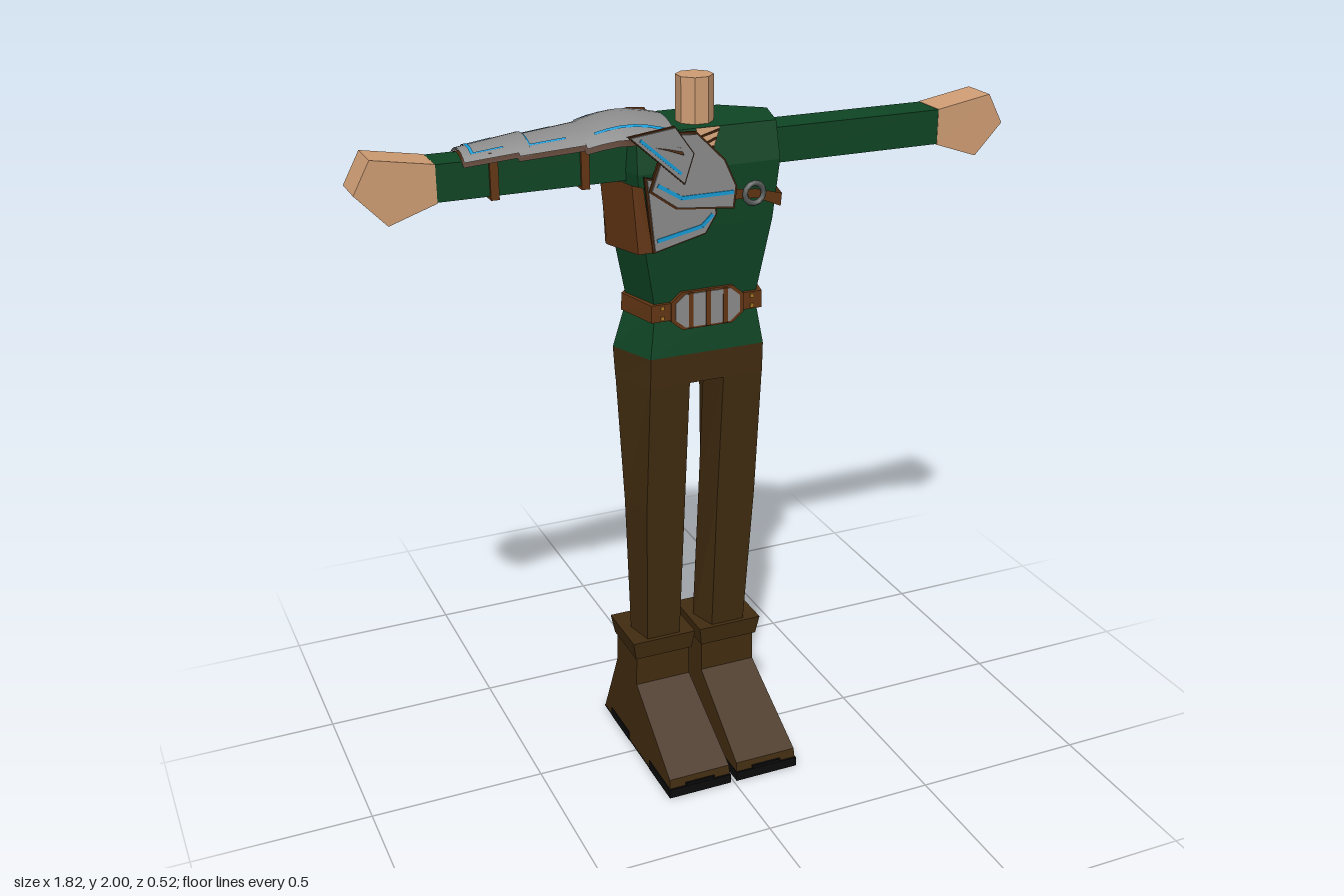
import * as THREE from 'three';

const mat = (name, color) => new THREE.MeshStandardMaterial({ name, color, side: THREE.DoubleSide });
const M = {
  tunic: mat('tunic green', 0x0f4525), trousers: mat('trouser brown', 0x422c10),
  leather: mat('leather', 0x633614), skin: mat('skin', 0xcf9d74),
  steel: mat('steel', 0x8b8b8b), inlay: mat('blue inlay', 0x169bd6),
  sole: mat('sole black', 0x0b0b0b), iron: mat('dark iron', 0x555a58),
  trim: mat('dark trim', 0x47270f), brass: mat('brass', 0xb07a26),
};

export function createModel() {
  const root = new THREE.Group();
  const add = (name, geo, material, parent = root) => {
    const m = new THREE.Mesh(geo, material);
    m.name = name;
    parent.add(m);
    return m;
  };
  const lerp = THREE.MathUtils.lerp;
  const fromTriangles = (p) => {
    const g = new THREE.BufferGeometry();
    g.setAttribute('position', new THREE.Float32BufferAttribute(p.flat(), 3));
    g.computeVertexNormals();
    return g;
  };
  // Flat-faced loft through rings of points, bottom ring first
  const loft = (rings, capped = true) => {
    const t = [], n = rings[0].length;
    for (let k = 0; k + 1 < rings.length; k++)
      for (let i = 0; i < n; i++) {
        const j = (i + 1) % n, a = rings[k], b = rings[k + 1];
        t.push(a[i], a[j], b[j], a[i], b[j], b[i]);
      }
    if (capped) {
      const lo = rings[0], hi = rings[rings.length - 1];
      for (let i = 1; i + 1 < n; i++) t.push(lo[0], lo[i + 1], lo[i], hi[0], hi[i], hi[i + 1]);
    }
    return fromTriangles(t);
  };
  const mirror = (ring) => ring.map(([x, y, z]) => [-x, y, z]).reverse();
  const box = (name, x, y, z, w, h, d, m) =>
    add(name, new THREE.BoxGeometry(w, h, d).translate(x, y, z), m);
  // Flat plate cut from an outline in x and y
  const plate = (name, pts, z, depth, m, grow = 1) => {
    const cx = pts.reduce((s, p) => s + p[0], 0) / pts.length;
    const cy = pts.reduce((s, p) => s + p[1], 0) / pts.length;
    const s = new THREE.Shape(pts.map(([x, y]) =>
      new THREE.Vector2(cx + (x - cx) * grow, cy + (y - cy) * grow)));
    return add(name, new THREE.ExtrudeGeometry(s, { depth, bevelEnabled: false }).translate(0, 0, z), m);
  };
  // Thin line along a path on the chest
  const line = (name, pts, z, w, m) => {
    for (let i = 0; i + 1 < pts.length; i++) {
      const [ax, ay] = pts[i], [bx, by] = pts[i + 1];
      const g = new THREE.BoxGeometry(Math.hypot(bx - ax, by - ay), w, 0.004);
      g.rotateZ(Math.atan2(by - ay, bx - ax)).translate((ax + bx) / 2, (ay + by) / 2, z);
      add(name, g, m);
    }
  };

  // Six-sided body section: front corners, side ridges, back corners
  const section = ([y, xf, zf, xr, xb, zb], o = 0) => [
    [-xf - o, y, zf + o], [xf + o, y, zf + o], [xr + o, y, -0.07],
    [xb + o, y, zb - o], [-xb - o, y, zb - o], [-xr - o, y, -0.07]];
  const waist = [1.27, 0.165, 0.067, 0.22, 0.13, -0.15];
  add('tunic', loft([waist, [1.4, 0.145, 0.052, 0.178, 0.11, -0.13],
    [1.62, 0.185, 0.07, 0.22, 0.12, -0.15], [1.78, 0.2, 0.08, 0.233, 0.125, -0.153],
    [1.88, 0.195, 0.062, 0.232, 0.125, -0.153]].map((r) => section(r))), M.tunic);
  add('hips', loft([[1.185, 0.165, 0.064, 0.215, 0.13, -0.15], waist].map((r) => section(r))), M.trousers);

  // Belt and buckle
  add('belt', loft([[1.372, 0.15, 0.054, 0.184, 0.113, -0.132],
    [1.42, 0.15, 0.054, 0.182, 0.113, -0.132]].map((r) => section(r, 0.01))), M.leather);
  const buckle = [[-0.1, 1.37], [-0.07, 1.345], [0.07, 1.345], [0.1, 1.37],
    [0.1, 1.42], [0.07, 1.445], [-0.07, 1.445], [-0.1, 1.42]];
  plate('buckleRim', buckle, 0.058, 0.01, M.leather, 1.05);
  plate('buckle', buckle, 0.062, 0.009, M.steel, 0.93);
  for (const x of [-0.05, 0, 0.05]) box('buckleBar', x, 1.395, 0.07, 0.013, 0.098, 0.006, M.leather);
  for (const x of [-0.13, 0.13]) for (const y of [1.382, 1.41])
    box('beltStud', x, y, 0.066, 0.01, 0.01, 0.006, M.brass);

  // Neck and laced collar opening
  add('neck', new THREE.CylinderGeometry(0.05, 0.05, 0.15, 8).toNonIndexed()
    .rotateY(Math.PI / 8).translate(0, 1.925, -0.02), M.skin).geometry.computeVertexNormals();
  add('collarOpening', fromTriangles([[-0.035, 1.881, 0.066], [0, 1.8, 0.081], [0.035, 1.881, 0.066]]), M.skin);
  for (const y of [1.825, 1.845, 1.865]) {
    const w = (y - 1.8) * 0.45;
    line('collarLace', [[-w, y - 0.008], [w, y + 0.008]], 0.082 - (y - 1.8) * 0.17, 0.005, M.trim);
  }

  for (const side of [-1, 1]) {
    const flip = (r) => (side > 0 ? r : mirror(r));
    const word = side > 0 ? 'left' : 'right';
    // Arm and mitten-shaped hand
    box(word + 'Sleeve', side * 0.455, 1.8025, -0.025, 0.5, 0.095, 0.104, M.tunic);
    plate(word + 'Hand', [[0.705, 1.753], [0.83, 1.71], [0.91, 1.795], [0.865, 1.878], [0.705, 1.851]]
      .map(([x, y]) => [side * x, y]), -0.078, 0.106, M.skin);
    // Leg
    const leg = [[1.2, 0.05, 0.05, 0.165, 0.215, 0.13, 0.064, -0.07, -0.15],
      [0.8, 0.05, 0.035, 0.165, 0.193, 0.13, 0.025, -0.072, -0.14],
      [0.33, 0.052, 0.027, 0.152, 0.17, 0.12, -0.016, -0.1, -0.165]].reverse();
    add(word + 'Leg', loft(leg.map(([y, xi, ri, xo, ro, bo, zf, zr, zb]) => flip([
      [xi, y, zf], [xo, y, zf], [ro, y, zr], [bo, y, zb], [0.07, y, zb], [ri, y, zr]]))), M.trousers);
    // Boot, cuff and sole
    const slab = ([y, x0, x1, zf, zb]) => flip([[x0, y, zf], [x1, y, zf], [x1, y, zb], [x0, y, zb]]);
    add(word + 'Boot', loft([[0.004, 0.01, 0.2, 0.26, -0.258], [0.055, 0.012, 0.197, 0.252, -0.238],
      [0.215, 0.02, 0.188, -0.018, -0.175], [0.32, 0.022, 0.186, -0.018, -0.172]].map(slab)), M.trousers);
    add(word + 'BootCuff', loft([[0.308, 0.016, 0.192, -0.008, -0.178],
      [0.365, 0.008, 0.202, 0, -0.186]].map(slab)), M.trousers);
    box(word + 'Sole', side * 0.105, 0.003, 0, 0.19, 0.006, 0.52, M.sole);
    box(word + 'ToeTread', side * 0.105, 0.014, 0.183, 0.192, 0.028, 0.158, M.sole);
    box(word + 'HeelTread', side * 0.105, 0.014, -0.128, 0.192, 0.028, 0.145, M.sole);
    box(word + 'ToeCapNotch', side * 0.105, 0.031, 0.257, 0.09, 0.012, 0.008, M.sole);
  }

  // Leather harness: columns of bottom and top points wrapping the torso
  const wrap = (name, cols, m) => {
    const t = [];
    for (let i = 0; i + 1 < cols.length; i++) {
      const [a, b] = cols[i], [c, d] = cols[i + 1];
      t.push(a, b, d, a, d, c);
    }
    add(name, fromTriangles(t), m);
  };
  wrap('harness', [
    [[-0.165, 1.575, 0.09], [-0.19, 1.75, 0.093]], [[-0.2, 1.57, 0.078], [-0.215, 1.755, 0.078]],
    [[-0.23, 1.56, -0.07], [-0.247, 1.757, -0.07]], [[-0.229, 1.56, -0.085], [-0.243, 1.885, -0.085]],
    [[-0.19, 1.575, -0.122], [-0.2, 1.89, -0.13]], [[-0.125, 1.61, -0.164], [-0.13, 1.895, -0.166]],
    [[-0.07, 1.64, -0.164], [-0.08, 1.89, -0.166]], [[-0.02, 1.655, -0.164], [-0.035, 1.78, -0.166]],
    [[0.03, 1.665, -0.164], [0.03, 1.73, -0.165]], [[0.13, 1.665, -0.164], [0.13, 1.71, -0.165]],
    [[0.237, 1.655, -0.07], [0.24, 1.695, -0.07]], [[0.202, 1.655, 0.084], [0.204, 1.69, 0.086]],
    [[0.13, 1.685, 0.084], [0.13, 1.71, 0.086]], [[0.03, 1.69, 0.086], [0.03, 1.72, 0.088]]], M.leather);
  for (const [x, y, z] of [[-0.2, 1.62, -0.125], [-0.205, 1.68, -0.122], [-0.21, 1.74, -0.12]])
    box('harnessStud', x, y, z, 0.014, 0.014, 0.014, M.brass);
  add('strapRing', new THREE.TorusGeometry(0.027, 0.008, 6, 12).translate(0.122, 1.7, 0.09), M.iron);

  // Chest plates with leather rims and blue inlays
  const chest = [
    ['lowerChestPlate', [[-0.16, 1.578], [-0.02, 1.612], [0.01, 1.66], [0.0, 1.72], [-0.18, 1.77]], 0.087],
    ['upperChestPlate', [[-0.17, 1.74], [-0.1, 1.69], [0.055, 1.675], [0.062, 1.73], [0.03, 1.8],
      [-0.045, 1.875], [-0.12, 1.88]], 0.094],
    ['shoulderFlap', [[-0.23, 1.885], [-0.085, 1.755], [-0.06, 1.83], [-0.11, 1.9]], 0.104]];
  for (const [name, pts, z] of chest) {
    plate(name + 'Rim', pts, z - 0.003, 0.009, M.trim, 1.06);
    plate(name, pts, z, 0.01, M.steel);
  }
  line('chestInlay', [[-0.155, 1.607], [-0.03, 1.632], [0, 1.66]], 0.098, 0.01, M.inlay);
  line('chestInlay', [[-0.155, 1.755], [-0.09, 1.715], [0.055, 1.715]], 0.105, 0.01, M.inlay);
  line('flapInlay', [[-0.205, 1.878], [-0.095, 1.782]], 0.115, 0.008, M.inlay);

  // Curved arm plates: outer and inner x, z range, crown height, drop at the edges
  const armPlates = [
    { name: 'shoulderPlate', x: [-0.335, -0.095], z0: [-0.118, -0.155], z1: [0.09, 0.115], y: [1.9, 1.908], drop: [0.035, 0.06], bulge: 0.022 },
    { name: 'upperArmPlate', x: [-0.5, -0.3], z0: [-0.095, -0.108], z1: [0.06, 0.08], y: [1.885, 1.908], drop: [0.028, 0.035], bulge: 0 },
    { name: 'lowerArmPlate', x: [-0.635, -0.47], z0: [-0.08, -0.095], z1: [0.04, 0.056], y: [1.872, 1.895], drop: [0.022, 0.028], bulge: 0 }];
  const patch = (name, p, s0, s1, t0, t1, lift, m) => {
    const pos = [], idx = [], ns = 6, nt = 8;
    for (let i = 0; i <= ns; i++) for (let j = 0; j <= nt; j++) {
      const s = lerp(s0, s1, i / ns), t = lerp(t0, t1, j / nt);
      const at = (r) => lerp(r[0], r[1], s);
      pos.push(at(p.x), at(p.y) + p.bulge * Math.sin(Math.PI * s) - at(p.drop) * Math.abs(t) ** 2.2 + lift,
        lerp(at(p.z0), at(p.z1), (t + 1) / 2));
      if (i < ns && j < nt) {
        const a = i * (nt + 1) + j, b = a + nt + 1;
        idx.push(a, a + 1, b + 1, a, b + 1, b);
      }
    }
    const g = new THREE.BufferGeometry();
    g.setAttribute('position', new THREE.Float32BufferAttribute(pos, 3));
    g.setIndex(idx);
    g.computeVertexNormals();
    // keep the faces pointing up
    if (g.attributes.normal.getY(0) < 0) { g.setIndex(idx.reverse()); g.computeVertexNormals(); }
    add(name, g, m);
  };
  armPlates.forEach((p, i) => {
    patch(p.name, p, 0, 1, -1, 1, 0, M.steel);
    patch(p.name + 'Lining', p, -0.02, 1.02, -1.05, 1.05, -0.009, M.trim);
    const end = i ? 0.62 : 1;
    patch(p.name + 'Inlay', p, 0.12, end, -0.75, -0.68, 0.003, M.inlay);
    patch(p.name + 'Inlay', p, 0.12, end, 0.68, 0.75, 0.003, M.inlay);
    if (i) patch(p.name + 'Inlay', p, 0.12, 0.17, -0.75, 0.75, 0.003, M.inlay);
  });
  // Straps holding the plates to the sleeve
  for (const x of [-0.56, -0.322]) box('armStrap', x, 1.806, -0.025, 0.022, 0.12, 0.12, M.leather);
  return root;
}
